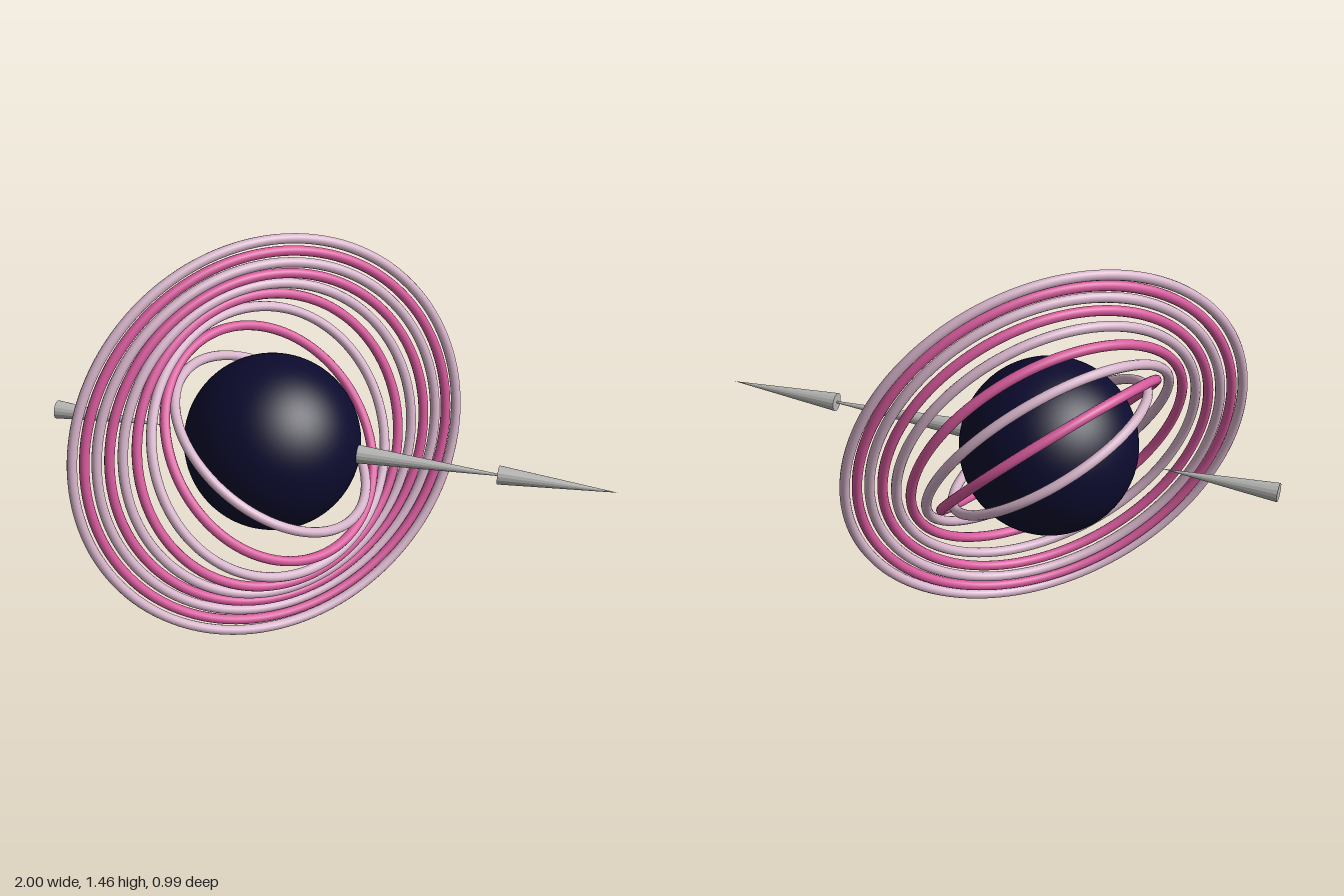
import * as THREE from 'three';

const material = (name, color) => {
  const m = new THREE.MeshStandardMaterial({ color });
  m.name = name;
  return m;
};

export function createModel() {
  const model = new THREE.Group();
  model.name = 'warpedRingSystem';

  const navy = material('navy', 0x0c0b2e);
  const paleMauve = material('paleMauve', 0xd6b4ca);
  const pink = material('pink', 0xd65a9c);
  const grey = material('grey', 0xb4b5b2);
  grey.flatShading = true;

  const center = new THREE.Vector3(-0.2, 0.739, 0);

  // Central sphere
  const sphere = new THREE.Mesh(new THREE.SphereGeometry(0.308, 64, 40), navy);
  sphere.name = 'centralSphere';
  sphere.position.copy(center);
  model.add(sphere);

  // Nested rings that swing about one shared diameter, easing out with radius
  const innerNormal = new THREE.Vector3(0.555, 0.832, 0).normalize();
  const outerNormal = new THREE.Vector3(0.636, 0.18, 0.75).normalize();
  const hinge = innerNormal.clone().cross(outerNormal).normalize();
  const swing = innerNormal.angleTo(outerNormal);
  const zAxis = new THREE.Vector3(0, 0, 1);
  const rings = new THREE.Group();
  rings.name = 'rings';
  rings.position.copy(center);
  const count = 9;
  for (let i = 0; i < count; i++) {
    const t = i / (count - 1);
    const angle = swing * (1 - Math.pow(1 - t, 3.2));
    const normal = innerNormal.clone().applyAxisAngle(hinge, angle);
    const ring = new THREE.Mesh(
      new THREE.TorusGeometry(0.387 + 0.338 * t, 0.0175, 12, 128),
      i % 2 ? pink : paleMauve
    );
    ring.name = 'ring' + (i + 1);
    ring.quaternion.setFromUnitVectors(zAxis, normal);
    rings.add(ring);
  }
  model.add(rings);

  // Slender cones along the x axis, all pointing to +x
  const addCone = (name, baseX, tipX) => {
    const length = tipX - baseX;
    const cone = new THREE.Mesh(new THREE.ConeGeometry(0.033, length, 16), grey);
    cone.name = name;
    cone.rotation.z = -Math.PI / 2;
    cone.position.set(baseX + length / 2, center.y, 0);
    model.add(cone);
  };
  addCone('rightCone', -1, -0.6);
  addCone('leftInnerCone', 0.1, 0.66);
  addCone('leftOuterCone', 0.595, 1);

  return model;
}
